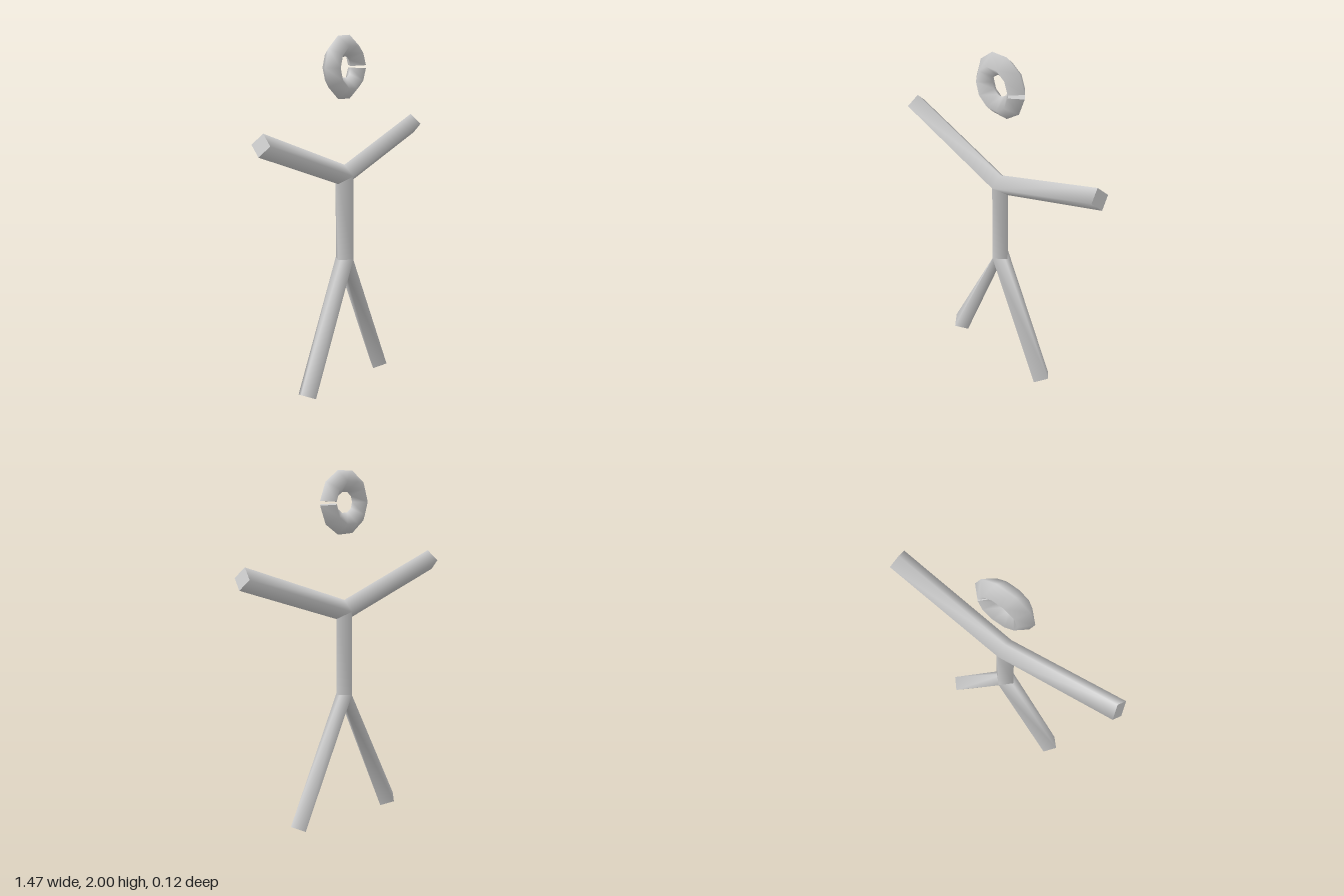
import * as THREE from 'three';

const R = 0.061; // half diagonal of the square section

// Sweeps a diamond section along stations [x, y, heading], with flat end caps.
function sweep(stations) {
  const pos = [], index = [];
  const addRing = ([x, y, a]) => {
    const ux = -Math.sin(a) * R, uy = Math.cos(a) * R;
    pos.push(x + ux, y + uy, 0, x, y, R, x - ux, y - uy, 0, x, y, -R);
  };
  stations.forEach(addRing);
  const n = stations.length;
  for (let i = 0; i < n - 1; i++) {
    for (let j = 0; j < 4; j++) {
      const a = i * 4 + j, b = i * 4 + (j + 1) % 4;
      index.push(a, b, a + 4, b, b + 4, a + 4);
    }
  }
  // caps use their own corners so their edges stay sharp
  addRing(stations[0]);
  addRing(stations[n - 1]);
  const s = n * 4, e = s + 4;
  index.push(s, s + 3, s + 2, s, s + 2, s + 1, e, e + 1, e + 2, e, e + 2, e + 3);

  const geo = new THREE.BufferGeometry();
  geo.setAttribute('position', new THREE.Float32BufferAttribute(pos, 3));
  geo.setIndex(index);
  geo.computeVertexNormals();
  return geo;
}

// A mirrored pair of limbs joined at the middle
function limbPair(tipX, tipY, midY) {
  const a = Math.atan2(tipY - midY, tipX);
  return sweep([[-tipX, tipY, -a], [0, midY, 0], [tipX, tipY, a]]);
}

export function createModel() {
  const group = new THREE.Group();
  const grey = new THREE.MeshStandardMaterial({ color: 0xcccccc });
  grey.name = 'lightGrey';
  const add = (name, geo) => {
    const mesh = new THREE.Mesh(geo, grey);
    mesh.name = name;
    group.add(mesh);
  };

  // ring head with a narrow gap on its left side
  const segments = 10, gap = THREE.MathUtils.degToRad(4), head = [];
  for (let i = 0; i <= segments; i++) {
    const t = gap + (i / segments) * (Math.PI * 2 - gap * 2);
    head.push([0.12 * Math.cos(t), 1.825 + 0.12 * Math.sin(t), t + Math.PI / 2]);
  }
  add('head', sweep(head));

  add('arms', limbPair(0.716, 1.462, 1.225));
  add('torso', sweep([[0, 0.75, Math.PI / 2], [0, 1.225, Math.PI / 2]]));
  add('legs', limbPair(0.356, 0.03, 0.75));
  return group;
}
